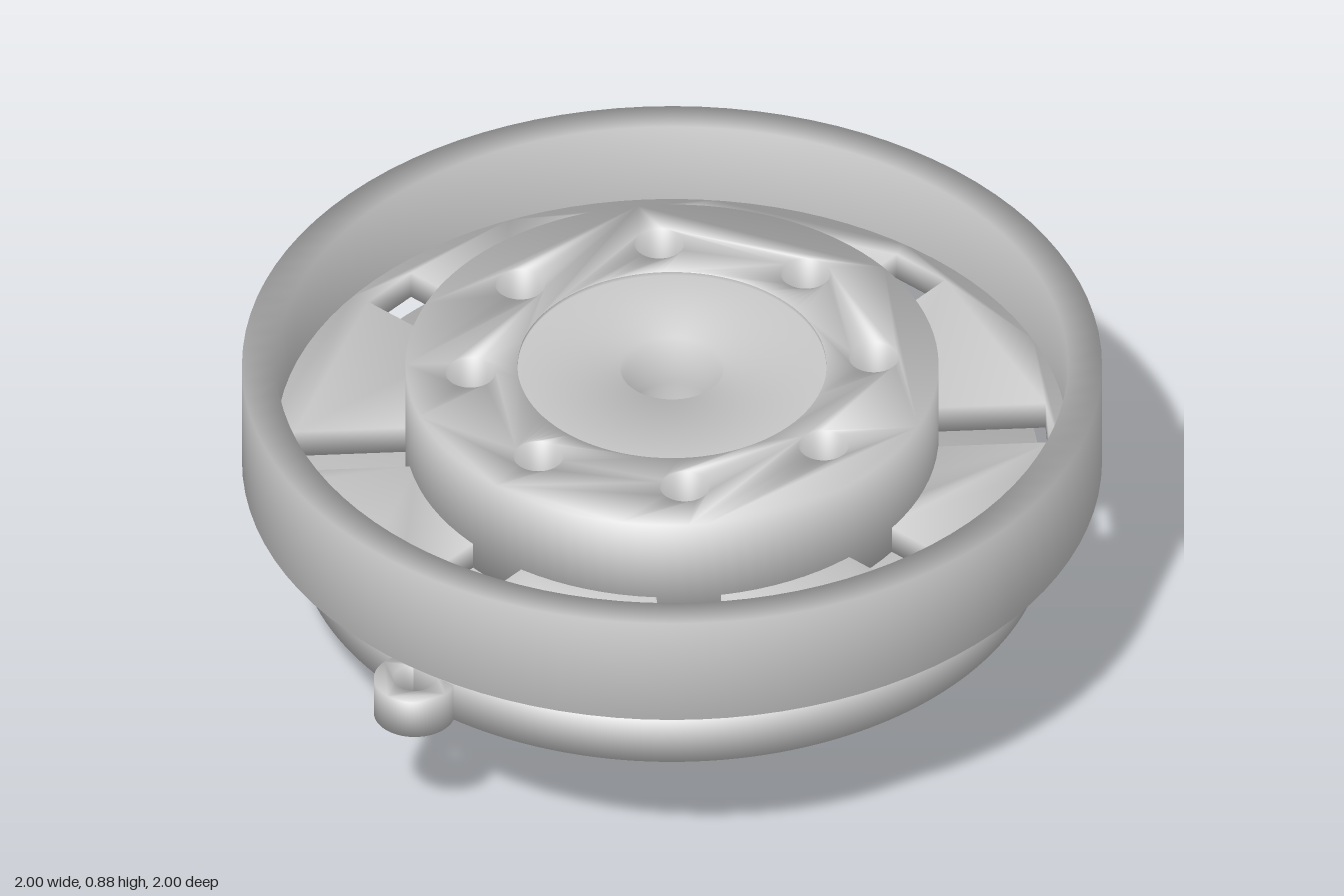
import * as THREE from 'three';
import { mergeVertices } from 'three/addons/utils/BufferGeometryUtils.js';

const metal = new THREE.MeshStandardMaterial({ color: 0xc8c8c8 });
metal.name = 'light grey metal';

// Weld corners and average face normals by corner angle
function smooth(geometry) {
  geometry.deleteAttribute('normal');
  geometry.deleteAttribute('uv');
  const g = mergeVertices(geometry, 1e-4);
  const p = g.attributes.position, idx = g.index;
  const sums = Array.from({ length: p.count }, () => new THREE.Vector3());
  const tri = new THREE.Triangle(), n = new THREE.Vector3();
  for (let i = 0; i < idx.count; i += 3) {
    const ids = [idx.getX(i), idx.getX(i + 1), idx.getX(i + 2)];
    tri.setFromAttributeAndIndices(p, ...ids);
    tri.getNormal(n);
    const c = [tri.a, tri.b, tri.c];
    ids.forEach((id, k) => {
      const u = c[(k + 1) % 3].clone().sub(c[k]), v = c[(k + 2) % 3].clone().sub(c[k]);
      if (u.lengthSq() > 0 && v.lengthSq() > 0) sums[id].addScaledVector(n, u.angleTo(v));
    });
  }
  const normals = new Float32Array(p.count * 3);
  sums.forEach((s, i) => s.normalize().toArray(normals, i * 3));
  g.setAttribute('normal', new THREE.BufferAttribute(normals, 3));
  return g;
}

const circle = (r, x = 0, y = 0, Type = THREE.Path) => new Type().absarc(x, y, r, 0, Math.PI * 2, false);

// Radial rectangle between two radii at an angle
function slot(angle, r0, r1, width) {
  const c = Math.cos(angle), s = Math.sin(angle), h = width / 2;
  return new THREE.Path([[r0, -h], [r1, -h], [r1, h], [r0, h]]
    .map(([r, t]) => new THREE.Vector2(r * c - t * s, r * s + t * c)));
}

// Flat round plate with cut-outs, between two heights
function plate(radius, y0, y1, holes, segments = 48) {
  const shape = circle(radius, 0, 0, THREE.Shape);
  shape.holes.push(...holes);
  const g = new THREE.ExtrudeGeometry(shape, { depth: y1 - y0, bevelEnabled: false, curveSegments: segments });
  return smooth(g.rotateX(-Math.PI / 2).translate(0, y0, 0));
}

const lathe = (points) => new THREE.LatheGeometry(points.map(([r, y]) => new THREE.Vector2(r, y)), 96);

const around = (count, make) => Array.from({ length: count }, (_, i) => make(i * Math.PI * 2 / count));

export function createModel() {
  const model = new THREE.Group();
  const add = (name, geometry) => {
    const mesh = new THREE.Mesh(geometry, metal);
    mesh.name = name;
    model.add(mesh);
    return mesh;
  };

  // Upper wheel: rim, slotted floor and raised hub
  add('rim', lathe([[0.92, 0.6], [1, 0.6], [1, 0.88], [0.92, 0.88], [0.92, 0.66]]));
  add('slottedFloor', plate(0.921, 0.6, 0.67,
    [circle(0.5), ...around(8, (a) => slot(a, 0.6, 0.875, 0.15))], 96));
  add('hub', plate(0.62, 0.601, 0.88,
    [circle(0.36), ...around(8, (a) => circle(0.058, 0.47 * Math.cos(a), 0.47 * Math.sin(a)))]));

  // Hub dish, stepped bore and hollow shaft in one profile
  add('dishAndShaft', lathe([
    [0.359, 0.88], [0.359, 0.87], [0.12, 0.87], [0.12, 0.75], [0.1, 0.75], [0.1, 0.6], [0.05, 0.6],
    [0.02, 0.55], [0.02, 0.35], [0.1, 0.35], [0.1, 0], [0.155, 0], [0.155, 0.379], [0.2, 0.379],
  ]));

  // Neck and lower base
  add('neck', plate(0.48, 0.57, 0.602, [circle(0.2)]));
  add('baseStep', plate(0.855, 0.499, 0.58, [circle(0.2)], 96));
  add('slottedBase', plate(0.87, 0.38, 0.5,
    [circle(0.18), ...around(12, (a) => slot(a, 0.75, 0.835, 0.13))], 96));

  // Drilled lugs on both sides and at the back
  const lug = plate(0.095, 0.38, 0.48, [circle(0.05)], 32);
  [[0.905, 0], [-0.905, 0], [0, -0.905]].forEach(([x, z]) => add('lug', lug).position.set(x, 0, z));

  // Clamping nut and screw at the back of the shaft
  const nut = new THREE.CylinderGeometry(0.084, 0.084, 0.085, 6).rotateY(Math.PI / 6).rotateX(Math.PI / 2);
  add('clampNut', nut).position.set(0, 0.142, -0.178);
  const screw = new THREE.CylinderGeometry(0.037, 0.037, 0.1, 24).rotateX(Math.PI / 2);
  add('clampScrew', screw).position.set(0, 0.14, -0.245);

  return model;
}
